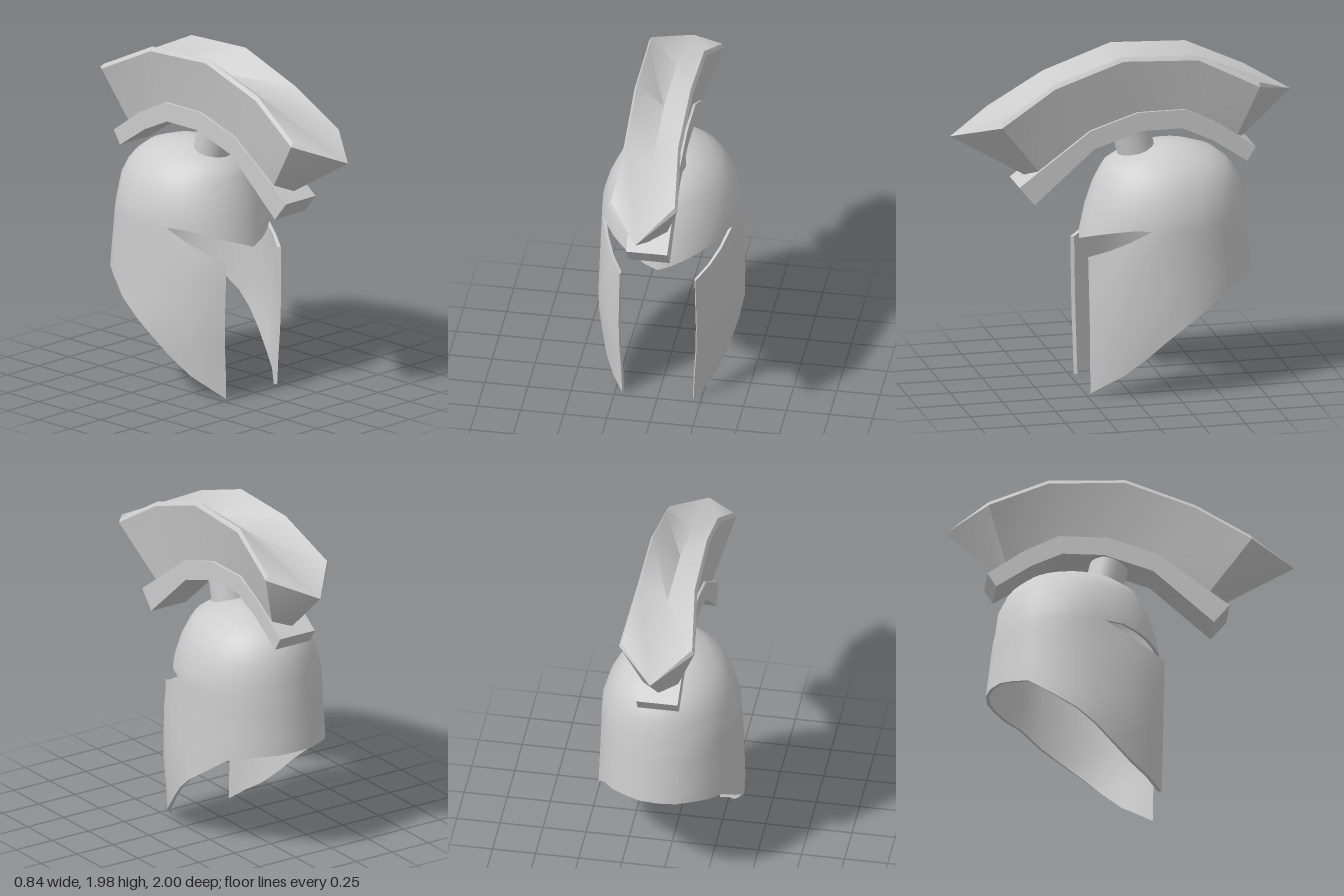
import * as THREE from 'three';
import { toCreasedNormals } from 'three/addons/utils/BufferGeometryUtils.js';

const steel = new THREE.MeshStandardMaterial({ color: 0xcccccc, side: THREE.DoubleSide });
steel.name = 'light grey steel';

// Piecewise linear lookup: rows are [key, value, value...], col picks the value
function lookup(table, key, col = 1) {
  if (key <= table[0][0]) return table[0][col];
  for (let i = 1; i < table.length; i++) {
    const a = table[i - 1], b = table[i];
    if (key <= b[0]) return a[col] + (b[col] - a[col]) * (key - a[0]) / (b[0] - a[0]);
  }
  return table[table.length - 1][col];
}

// Turns rows of points into triangles, dropping the collapsed ones
function grid(rows) {
  const out = [];
  const same = (p, q) => Math.hypot(p[0] - q[0], p[1] - q[1], p[2] - q[2]) < 1e-5;
  const tri = (a, b, c) => { if (!same(a, b) && !same(b, c) && !same(a, c)) out.push(...a, ...b, ...c); };
  for (let i = 0; i + 1 < rows.length; i++) {
    for (let j = 0; j + 1 < rows[i].length; j++) {
      const a = rows[i][j], b = rows[i][j + 1], c = rows[i + 1][j + 1], d = rows[i + 1][j];
      tri(a, b, c);
      tri(a, c, d);
    }
  }
  return out;
}

const flipped = rows => rows.map(r => [...r].reverse());

function part(name, grids, crease) {
  const g = new THREE.BufferGeometry();
  const points = grids.flatMap(grid);
  g.setAttribute('position', new THREE.Float32BufferAttribute(points, 3));
  const mesh = new THREE.Mesh(toCreasedNormals(g, crease), steel);
  mesh.name = name;
  return mesh;
}

function makeHelmet() {
  const C = -0.28; // z of the helmet's axis
  const SEAM = 0.99;
  // height: half width, front z, back z
  const profile = [
    [0, 0.38, 0.30, -0.77], [0.15, 0.39, 0.3, -0.77], [0.4, 0.42, 0.28, -0.77], [0.66, 0.41, 0.26, -0.77],
    [0.87, 0.402, 0.24, -0.745], [0.99, 0.4, 0.22, -0.73], [1.06, 0.395, 0.2, -0.715],
    [1.18, 0.36, 0.16, -0.7], [1.26, 0.32, 0.12, -0.66], [1.31, 0.28, 0.09, -0.62],
    [1.37, 0.21, 0, -0.54], [1.41, 0.12, -0.14, -0.42], [1.43, 0, C, C],
  ];
  const cheekFront = [[0, 0.32], [0.82, 0.34], [0.99, 0.22]];
  // angle from the front: height of the lower rim
  const hem = [[33, 0], [61, 0.15], [87, 0.4], [124, 0.61], [150, 0.65], [180, 0.66]];
  const half = [0, 11, 22, 33, 45, 57, 70, 80, 90, 107, 124, 137, 150, 165, 180];
  const angles = [...half, ...half.slice(0, -1).reverse().map(t => 360 - t)];
  const fold = t => Math.min(t, 360 - t);
  const cos = t => Math.cos(t * Math.PI / 180), sin = t => Math.sin(t * Math.PI / 180);

  const point = (t, y, lower, inner) => {
    const f = lower ? lookup(cheekFront, y) : lookup(profile, y, 2);
    const reach = cos(t) > 0 ? f - C : C - lookup(profile, y, 3);
    const k = inner ? 0.96 : 1;
    const drop = inner ? 0.02 * Math.max(0, (y - 1) / 0.43) : 0;
    return [lookup(profile, y) * sin(t) * k, y - drop, C + reach * cos(t) * k];
  };
  const brow = t => fold(t) >= 70 ? SEAM : 0.87 + 0.12 * Math.min(1, Math.abs(sin(t)) / 0.84);
  const slot = t => fold(t) >= 70 ? SEAM : 0.82 + 0.17 * (cos(33) - cos(t)) / (cos(33) - cos(70));

  // Dome above the eye opening
  const domeYs = [null, ...profile.slice(6).map(p => p[0])];
  const dome = inner => domeYs.map(y => angles.map(t => point(t, y ?? brow(t), false, inner)));
  // Neck guard and cheeks below it
  const sideAngles = angles.filter(t => fold(t) >= 33);
  const wall = inner => [0, 0.2, 0.4, 0.6, 0.8, 1].map(k => sideAngles.map(t => {
    const low = lookup(hem, fold(t));
    return point(t, low + (slot(t) - low) * k, true, inner);
  }));
  const dO = dome(false), dI = dome(true), wO = wall(false), wI = wall(true);

  // Narrow rims joining the outer and inner skins
  const last = sideAngles.length - 1;
  const column = (rows, j) => rows.map(r => r[j]);
  const rims = [
    [wI[0], wO[0]],
    [column(wO, 0), column(wI, 0)],
    [column(wI, last), column(wO, last)],
    [wO[5].slice(0, 4), wI[5].slice(0, 4)],
    [wO[5].slice(-4), wI[5].slice(-4)],
    [dI[0].slice(0, 7), dO[0].slice(0, 7)],
    [dI[0].slice(-7), dO[0].slice(-7)],
  ];
  return part('helmetShell', [dO, wO, flipped(dI), flipped(wI), ...rims], 0.6);
}

function makeCrest() {
  const crest = new THREE.Group();
  crest.name = 'crest';

  // Upper edges, lower edges and centre valley, front to back
  const edge = [[0.2, 1.64, 0.74], [0.165, 1.84, 0.42], [0.17, 1.98, 0.02], [0.175, 1.96, -0.42], [0.22, 1.79, -0.77]];
  const foot = [[0.1, 1.31, 0.5], [0.1, 1.52, 0.2], [0.1, 1.61, -0.08], [0.1, 1.61, -0.36], [0.1, 1.44, -0.66]];
  const valley = [[0, 1.53, 1], [0, 1.73, 0.45], [0, 1.85, 0.02], [0, 1.85, -0.42], [0, 1.68, -1]];
  const keel = [[0, 1.27, 0.56], [0, 1.42, -0.72]];
  const mirror = pts => pts.map(([x, y, z]) => [-x, y, z]);
  const outer = edge.map(([x, y, z]) => [x, y - 0.025, z]);
  const inner = edge.map(([x, y, z]) => [x - 0.015, y, z]);

  crest.add(part('plumeTop', [[inner, valley, mirror(inner)]], 1.3));
  crest.add(part('plumeSides', [
    [foot, outer], flipped([mirror(foot), mirror(outer)]),
    [mirror(foot), foot],
  ], 0.8));
  crest.add(part('plumeRims', [[outer, inner], flipped([mirror(outer), mirror(inner)])], 0.6));

  // Pointed prow at each end
  const ends = [0, 4].flatMap((i, n) => {
    const K = keel[n], V = valley[i];
    const right = [[K, foot[i]], [V, outer[i]], [V, inner[i]]];
    const left = right.map(r => mirror(r).reverse());
    const under = [[K, K], [mirror(foot)[i], foot[i]]];
    return [right, left, under].map(g => n ? flipped(g) : g);
  });
  crest.add(part('plumeEnds', ends, 0.5));

  // Curved holder under the plume: [z, y] along its top and bottom
  const top = [[0.62, 1.23], [0.2, 1.54], [-0.08, 1.63], [-0.36, 1.63], [-0.56, 1.53], [-0.77, 1.38]];
  const bottom = [[0.53, 1.12], [0.18, 1.43], [-0.1, 1.52], [-0.34, 1.52], [-0.52, 1.435], [-0.72, 1.3]];
  const line = (pts, x) => pts.map(([z, y]) => [x, y, z]);
  const W = 0.12;
  const loop = [line(bottom, -W), line(bottom, W), line(top, W), line(top, -W), line(bottom, -W)];
  const cap = i => [[loop[0][i], loop[1][i]], [loop[3][i], loop[2][i]]];
  crest.add(part('crestHolder', [loop, cap(0), flipped(cap(5))], 0.8));

  // Post joining the holder to the dome
  const post = new THREE.Mesh(new THREE.CylinderGeometry(0.11, 0.11, 0.24, 16), steel);
  post.name = 'crestPost';
  post.position.set(0, 1.45, -0.075);
  post.rotation.x = 0.25;
  crest.add(post);
  return crest;
}

export function createModel() {
  const model = new THREE.Group();
  model.name = 'crestedHelmet';
  model.add(makeHelmet(), makeCrest());
  return model;
}
